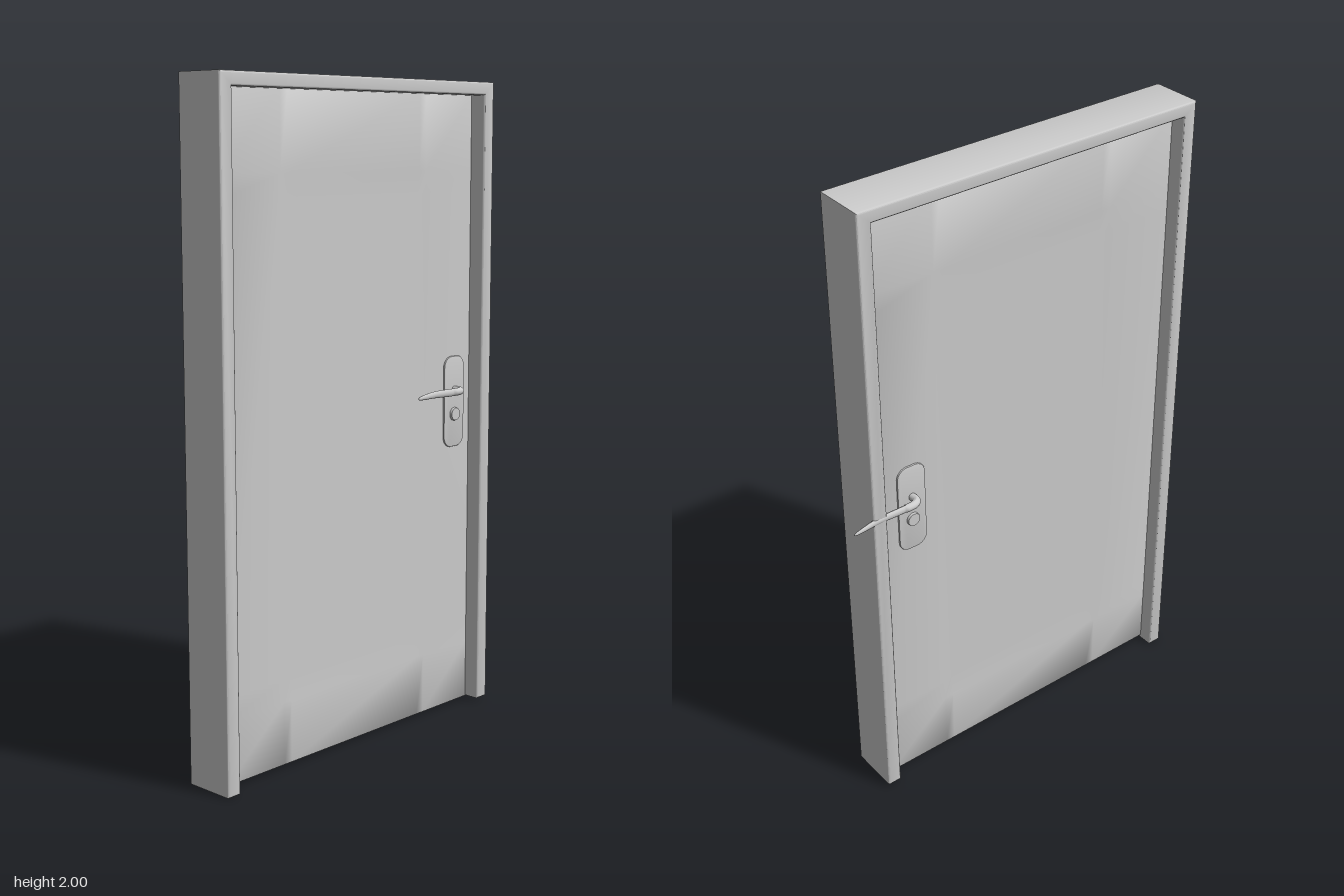
import * as THREE from 'three';
import { mergeVertices, toCreasedNormals } from 'three/addons/utils/BufferGeometryUtils.js';

const material = new THREE.MeshStandardMaterial({ color: 0xcccccc });

function part(name, geometry) {
  const mesh = new THREE.Mesh(geometry, material);
  mesh.name = name;
  return mesh;
}

// U-shaped surround: two posts and a head, with softened front and back edges
function makeFrame() {
  const shape = new THREE.Shape([
    [-0.61, 0], [-0.565, 0], [-0.565, 1.96], [0.495, 1.96],
    [0.495, 0.012], [0.54, 0.012], [0.54, 2], [-0.61, 2],
  ].map(([x, y]) => new THREE.Vector2(x, y)));
  const bevel = 0.006;
  const geometry = new THREE.ExtrudeGeometry(shape, {
    depth: 0.165 - 2 * bevel, bevelThickness: bevel, bevelSize: bevel,
    bevelOffset: -bevel, bevelSegments: 3,
  });
  geometry.translate(0, 0, -0.08 + bevel);
  return part('frame', toCreasedNormals(geometry, 0.7));
}

// Door leaf: a softly shaded slab with a shallow sunken panel on both faces
function makeLeaf() {
  const xs = [-0.566, -0.34, -0.31, 0.25, 0.28, 0.496];
  const ys = [0.01, 0.2, 0.27, 1.66, 1.73, 1.961];
  const n = xs.length - 1;
  let geometry = new THREE.BoxGeometry(n, n, 2, n, n, 1);
  const p = geometry.attributes.position;
  for (let k = 0; k < p.count; k++) {
    const i = Math.round(p.getX(k) + n / 2), j = Math.round(p.getY(k) + n / 2);
    const sunk = i > 1 && i < n - 1 && j > 1 && j < n - 1;
    p.setXYZ(k, xs[i], ys[j], Math.sign(p.getZ(k)) * (sunk ? 0.026 : 0.032));
  }
  geometry.deleteAttribute('normal');
  geometry.deleteAttribute('uv');
  geometry = mergeVertices(geometry);
  geometry.computeVertexNormals();
  return part('doorLeaf', geometry);
}

// Tapered lever swept from the plate outwards and then sideways to a pointed tip
function makeLever() {
  const curve = new THREE.CatmullRomCurve3([
    [0, 0, 0], [0, 0, 0.028], [-0.015, 0, 0.04], [-0.06, 0, 0.042],
    [-0.14, 0.002, 0.044], [-0.232, 0, 0.056],
  ].map((c) => new THREE.Vector3(...c)));
  const rings = 48, sides = 14;
  const geometry = new THREE.TubeGeometry(curve, rings, 0.012, sides);
  const p = geometry.attributes.position;
  const v = new THREE.Vector3();
  for (let k = 0; k < p.count; k++) {
    const t = Math.floor(k / (sides + 1)) / rings;
    const centre = curve.getPointAt(t);
    const width = t < 0.3 ? 1 : Math.sqrt(Math.max(0, 1 - ((t - 0.3) / 0.7) ** 2));
    v.fromBufferAttribute(p, k).sub(centre);
    v.multiplyScalar(0.15 + 0.85 * width);
    if (t === 1) v.set(0, 0, 0);
    if (t > 0.3) v.z *= 0.65;
    v.add(centre);
    p.setXYZ(k, v.x, v.y, v.z);
  }
  geometry.computeVertexNormals();
  return part('lever', geometry);
}

// Rounded back plate with a lever and a lock cylinder below it
function makeHandle(name) {
  const handle = new THREE.Group();
  handle.name = name;
  const w = 0.048, h = 0.145, r = 0.035;
  const outline = new THREE.Shape();
  outline.absarc(w - r, h - r, r, 0, Math.PI / 2);
  outline.absarc(r - w, h - r, r, Math.PI / 2, Math.PI);
  outline.absarc(r - w, r - h, r, Math.PI, Math.PI * 1.5);
  outline.absarc(w - r, r - h, r, Math.PI * 1.5, Math.PI * 2);
  const plate = new THREE.ExtrudeGeometry(outline, {
    depth: 0.004, bevelThickness: 0.002, bevelSize: 0.003, bevelOffset: -0.003, bevelSegments: 2,
  });
  const plateMesh = part('handlePlate', toCreasedNormals(plate, 0.7));
  plateMesh.position.y = 1.005;

  const lever = makeLever();
  lever.position.y = 1.043;

  const lock = part('lockCylinder', new THREE.CylinderGeometry(0.02, 0.022, 0.014, 24));
  lock.rotation.x = Math.PI / 2;
  lock.position.set(0, 0.965, 0.007);

  handle.add(plateMesh, lever, lock);
  return handle;
}

export function createModel() {
  const model = new THREE.Group();
  model.name = 'door';

  const front = makeHandle('frontHandle');
  front.position.set(0.418, 0, 0.031);
  const back = makeHandle('backHandle');
  back.position.set(0.38, 0, -0.031);
  back.rotation.y = Math.PI;

  model.add(makeFrame(), makeLeaf(), front, back);
  return model;
}
